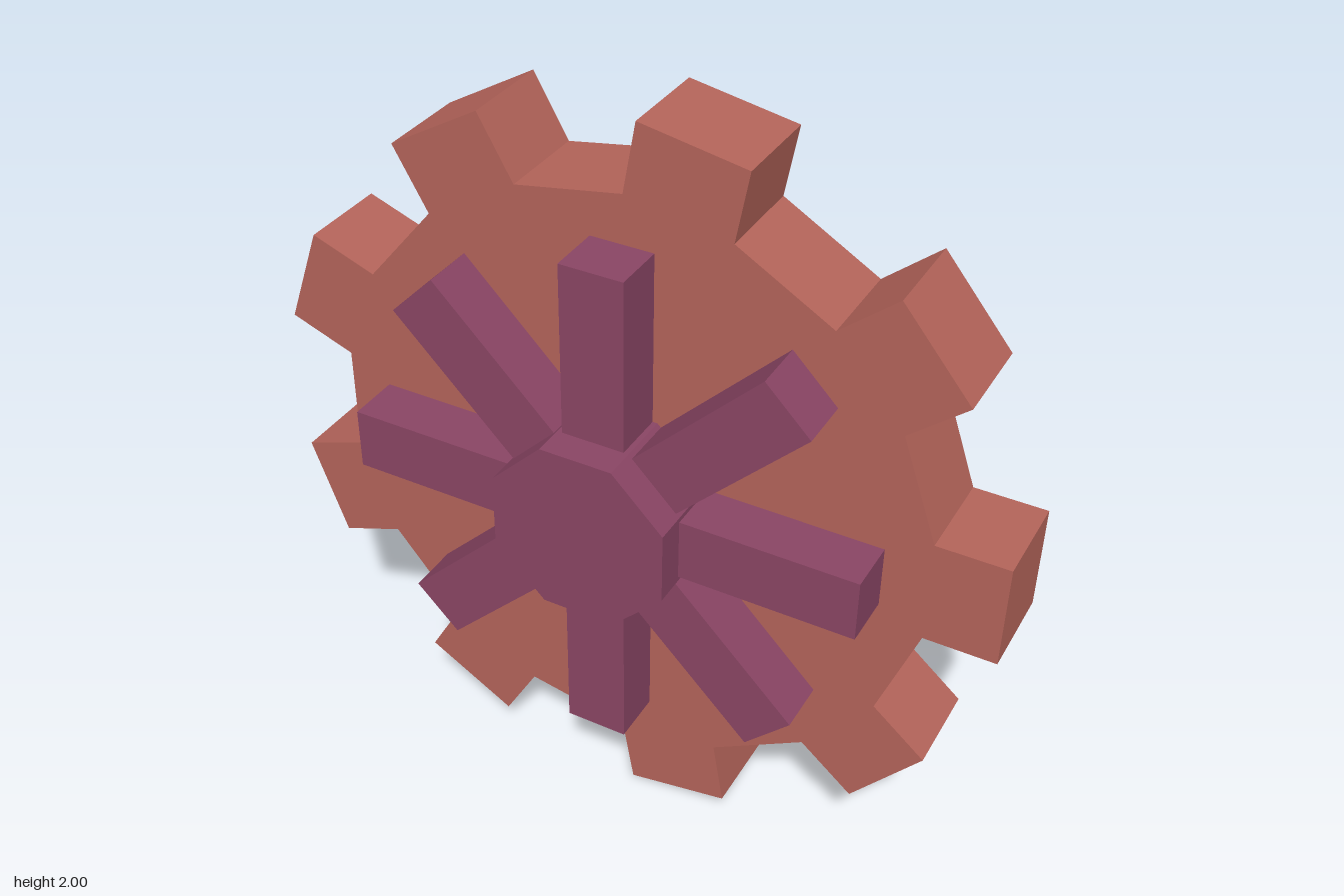
import * as THREE from 'three';

export function createModel() {
  const model = new THREE.Group();
  const clay = new THREE.MeshStandardMaterial({ color: 0xb4645a });
  clay.name = 'clay red';
  const plum = new THREE.MeshStandardMaterial({ color: 0x8a4564 });
  plum.name = 'plum';

  const centreX = -0.008, backZ = -0.237;
  const add = (name, geometry, material, z) => {
    const mesh = new THREE.Mesh(geometry, material);
    mesh.name = name;
    mesh.position.z = z;
    wheel.add(mesh);
    return mesh;
  };
  const wheel = new THREE.Group();
  wheel.name = 'gearWheel';
  wheel.position.set(centreX, 1, 0);
  model.add(wheel);

  // Gear disc: nine square teeth joined by straight root edges
  const teeth = 9, tip = 0.99, root = 0.805, halfTooth = 0.14;
  const outline = [];
  for (let i = 0; i < teeth; i++) {
    const angle = (i / teeth) * Math.PI * 2;
    for (const [r, t] of [[root, -1], [tip, -1], [tip, 1], [root, 1]]) {
      outline.push(new THREE.Vector2(r, t * halfTooth).rotateAround(new THREE.Vector2(), angle));
    }
  }
  const disc = new THREE.ExtrudeGeometry(new THREE.Shape(outline), { depth: 0.247, bevelEnabled: false });
  add('gearDisc', disc, clay, backZ);

  // Eight raised spokes, sunk part way into the disc
  const spokeLength = 0.69, spokeBack = -0.1, spokeFront = 0.152;
  const spokeGeometry = new THREE.BoxGeometry(spokeLength, 0.166, spokeFront - spokeBack);
  spokeGeometry.translate(spokeLength / 2, 0, 0);
  for (let i = 0; i < 8; i++) {
    add('spoke' + (i + 1), spokeGeometry, plum, (spokeFront + spokeBack) / 2).rotation.z = (i * Math.PI) / 4;
  }

  // Octagonal hub with flats facing the spokes
  const hubBack = -0.1, hubFront = 0.235, apothem = 0.232;
  const hubShape = new THREE.Shape();
  for (let i = 0; i < 8; i++) {
    const a = ((i + 0.5) * Math.PI) / 4, r = apothem / Math.cos(Math.PI / 8);
    hubShape[i ? 'lineTo' : 'moveTo'](r * Math.cos(a), r * Math.sin(a));
  }
  add('hub', new THREE.ExtrudeGeometry(hubShape, { depth: hubFront - hubBack, bevelEnabled: false }), plum, hubBack);

  return model;
}
